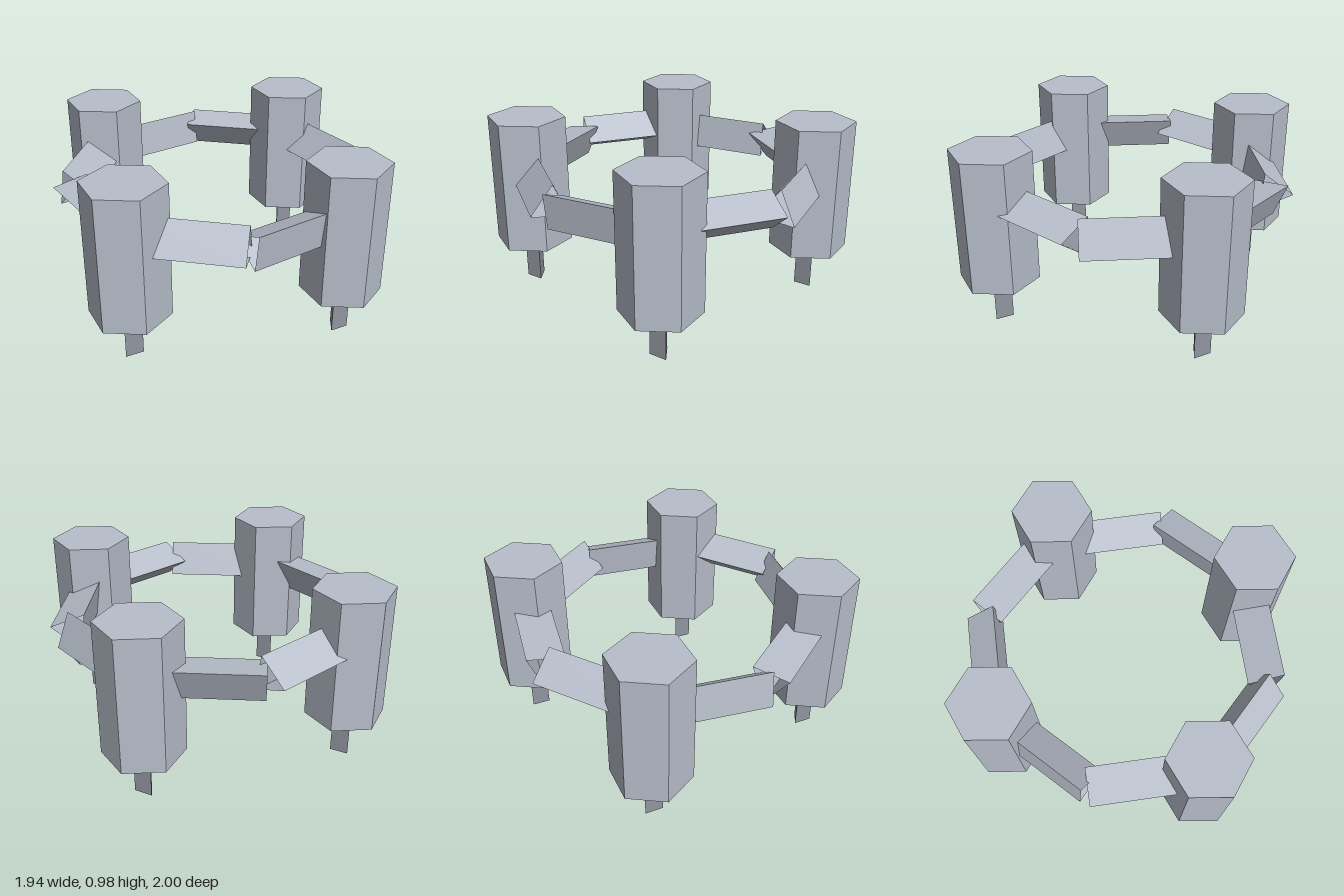
import * as THREE from 'three';

const RING = 0.785; // radius of the octagonal ring
const RAIL_Y = 0.69;

export function createModel() {
  const model = new THREE.Group();
  const paleSteel = new THREE.MeshStandardMaterial({ color: 0xb8bfcb, flatShading: true, side: THREE.DoubleSide });
  const darkSteel = new THREE.MeshStandardMaterial({ color: 0x90959f, flatShading: true, side: THREE.DoubleSide });

  const add = (name, geometry, material, position) => {
    const mesh = new THREE.Mesh(geometry, material);
    mesh.name = name;
    mesh.position.copy(position);
    model.add(mesh);
    return mesh;
  };
  const ringPoint = (i, y) => {
    const a = (i * Math.PI) / 4;
    return new THREE.Vector3(Math.cos(a) * RING, y, Math.sin(a) * RING);
  };

  // Hexagonal pillars, each on a hollow three-sided leg
  const pillar = new THREE.CylinderGeometry(0.215, 0.215, 0.73, 6);
  const leg = new THREE.CylinderGeometry(0.057, 0.057, 0.27, 3, 1, true);
  for (let i = 0; i < 8; i += 2) {
    add('pillar', pillar, paleSteel, ringPoint(i, 0.615));
    add('leg', leg, darkSteel, ringPoint(i, 0.135));
  }

  // Eight hollow three-sided rails joining the corners of the octagon
  const up = new THREE.Vector3(0, 1, 0);
  const length = 2 * RING * Math.sin(Math.PI / 8);
  const rail = new THREE.CylinderGeometry(0.115, 0.115, length, 3, 1, true);
  for (let i = 0; i < 8; i++) {
    const from = ringPoint(i, RAIL_Y);
    const to = ringPoint(i + 1, RAIL_Y);
    const mesh = add('rail', rail, paleSteel, from.clone().lerp(to, 0.5));
    mesh.quaternion.setFromUnitVectors(up, to.sub(from).normalize());
  }
  return model;
}
